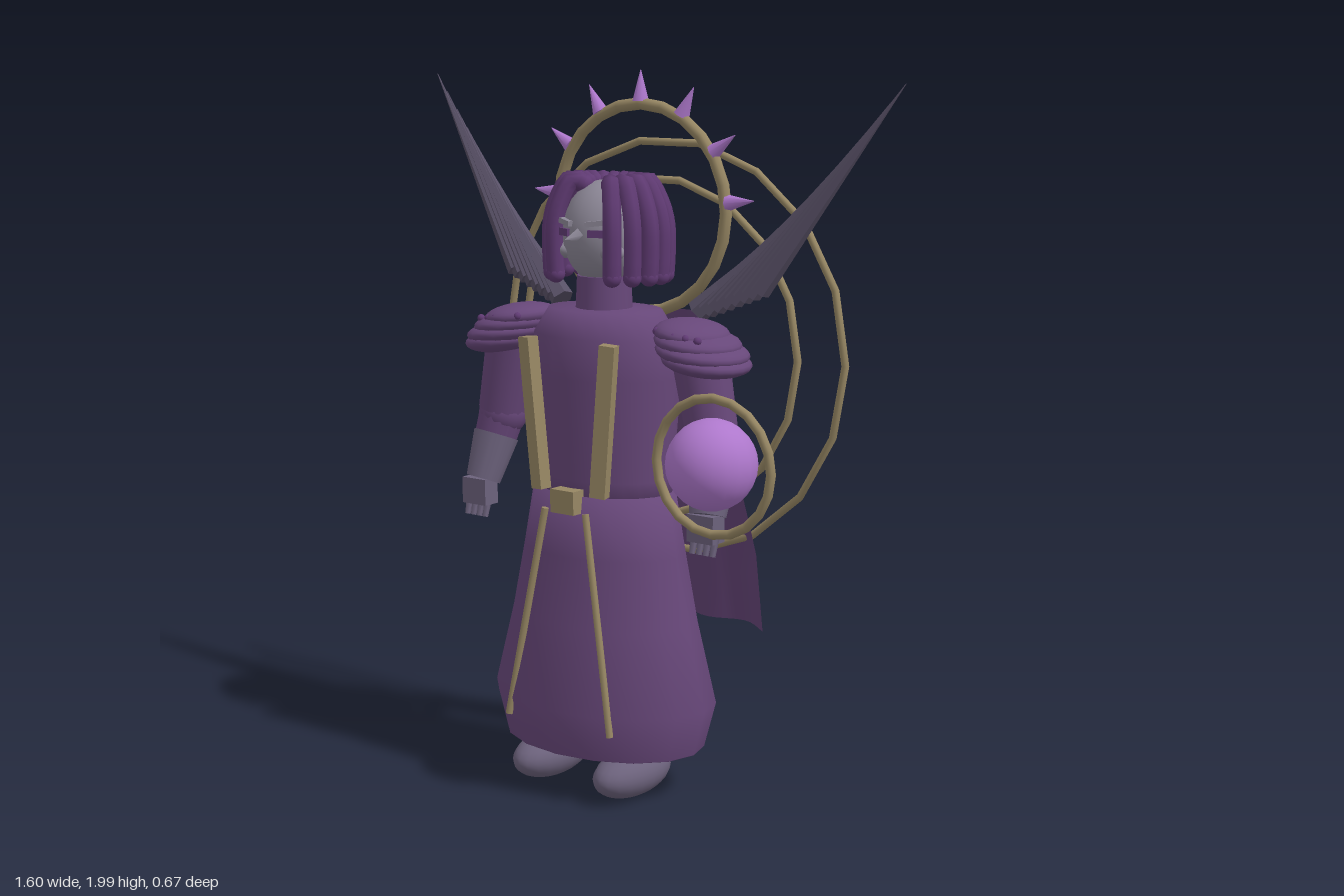
import * as THREE from 'three';

const mat = (name, color, side = THREE.FrontSide, flatShading = false) => {
  const m = new THREE.MeshStandardMaterial({ color, side, flatShading });
  m.name = name;
  return m;
};

export function createModel() {
  const root = new THREE.Group();
  const robe = mat('robePurple', 0x674779);
  const capeMat = mat('capePurple', 0x644476, THREE.DoubleSide);
  const hairMat = mat('hairPurple', 0x5f3a72);
  const skin = mat('paleGrey', 0x8b8695);
  const glove = mat('gloveGrey', 0x6c627c);
  const gold = mat('dullGold', 0x978764);
  const glow = mat('orbViolet', 0xae78cc);
  const feather = mat('featherGrey', 0x585066, THREE.FrontSide, true);
  const V = (x, y, z) => new THREE.Vector3(x, y, z);

  const add = (name, geo, material, p = [0, 0, 0], scale = [1, 1, 1], parent = root) => {
    const m = new THREE.Mesh(geo, material);
    m.name = name;
    m.position.set(...p);
    m.scale.set(...scale);
    parent.add(m);
    return m;
  };
  const ball = (name, material, p, r, parent) =>
    add(name, new THREE.SphereGeometry(1, 20, 14), material, p, r, parent);
  // Tapered rod from a to b
  const rod = (name, material, a, b, r0, r1, sides = 12, parent = root) => {
    const d = b.clone().sub(a);
    const m = add(name, new THREE.CylinderGeometry(r1, r0, d.length(), sides), material, [0, 0, 0], [1, 1, 1], parent);
    m.position.copy(a).addScaledVector(d, 0.5);
    m.quaternion.setFromUnitVectors(V(0, 1, 0), d.normalize());
    return m;
  };
  const lathe = (name, pts, material, p, scale, n = 24) =>
    add(name, new THREE.LatheGeometry(pts.map(([r, y]) => new THREE.Vector2(r, y)), n), material, p, scale);
  const ring = (name, r, tube, p, n) =>
    add(name, new THREE.TorusGeometry(r, tube, 8, n), gold, p);

  // Robe
  lathe('skirt', [[0, 0.14], [0.31, 0.14], [0.31, 0.141], [0.345, 0.27], [0.287, 0.5], [0.25, 0.69], [0.22, 0.86], [0, 0.86]],
    robe, [0, 0, 0.05], [1, 1, 0.71], 16);
  lathe('torso', [[0, 0.82], [0.205, 0.82], [0.205, 0.9], [0.228, 1.18], [0.215, 1.29], [0.17, 1.36], [0, 1.365]],
    robe, [0, 0, 0.045], [1, 1, 0.75]);
  add('neck', new THREE.CylinderGeometry(0.075, 0.08, 0.12, 16), robe, [0, 1.39, 0.05]);
  add('buckle', new THREE.BoxGeometry(0.08, 0.065, 0.05), gold, [0, 0.847, 0.215]);

  // Head and face
  ball('head', skin, [0, 1.565, 0.04], [0.118, 0.145, 0.128]);
  const nose = add('nose', new THREE.ConeGeometry(0.022, 0.075, 4), skin, [0, 1.565, 0.185]);
  nose.rotation.x = Math.PI / 2 + 0.15;

  // Hair locks fall around the crown, leaving the face open
  const hair = new THREE.Group();
  hair.name = 'hair';
  root.add(hair);
  const locks = 15;
  for (let i = 0; i < locks; i++) {
    const a = 0.62 + (i / (locks - 1)) * (Math.PI * 2 - 1.24);
    const path = [[0.075, 1.695], [0.11, 1.71], [0.148, 1.655], [0.167, 1.59], [0.168, 1.5], [0.165, 1.455]]
      .map(([r, y]) => V(Math.sin(a) * r, y, 0.03 + Math.cos(a) * r * 0.82));
    add('lock', new THREE.TubeGeometry(new THREE.CatmullRomCurve3(path), 14, 0.025, 8), hairMat, [0, 0, 0], [1, 1, 1], hair);
    for (const p of [path[0], path[5]]) ball('lockEnd', hairMat, p.toArray(), [0.025, 0.025, 0.025], hair);
  }

  for (const s of [1, -1]) {
    const side = s > 0 ? 'left' : 'right';
    ball(side + 'Foot', glove, [s * 0.143, 0.077, 0.11], [0.077, 0.067, 0.15]);

    // Face details
    const eye = add(side + 'Eye', new THREE.BoxGeometry(0.046, 0.02, 0.009), hairMat, [s * 0.054, 1.572, 0.156]);
    eye.rotation.y = s * 0.4;
    const brow = add(side + 'Brow', new THREE.BoxGeometry(0.062, 0.014, 0.02), skin, [s * 0.052, 1.6, 0.152]);
    brow.rotation.set(0, s * 0.4, s * 0.12);
    ball(side + 'Cheek', skin, [s * 0.077, 1.52, 0.115], [0.034, 0.024, 0.034]);

    // Gold trim on chest and skirt
    const strip = add(side + 'ChestStrip', new THREE.BoxGeometry(0.045, 0.42, 0.035), gold, [s * 0.12, 1.077, 0.207]);
    strip.rotation.set(0.04, s * 0.25, -s * 0.095);
    rod(side + 'SkirtTrim', gold, V(s * 0.07, 0.82, 0.225), V(s * 0.178, 0.22, 0.258), 0.01, 0.01, 8);

    // Arm
    const arm = new THREE.Group();
    arm.name = side + 'Arm';
    root.add(arm);
    rod('upperArm', robe, V(s * 0.32, 1.27, 0.05), V(s * 0.365, 1.04, 0.05), 0.078, 0.07, 14, arm);
    ball('elbow', robe, [s * 0.365, 1.03, 0.05], [0.07, 0.07, 0.07], arm);
    rod('sleeve', robe, V(s * 0.365, 1.04, 0.05), V(s * 0.385, 0.94, 0.07), 0.068, 0.06, 14, arm);
    rod('cuff', glove, V(s * 0.38, 0.965, 0.065), V(s * 0.392, 0.84, 0.11), 0.066, 0.05, 12, arm);
    add('palm', new THREE.BoxGeometry(0.085, 0.075, 0.055), glove, [s * 0.394, 0.81, 0.122], [1, 1, 1], arm);
    for (let f = 0; f < 4; f++) {
      const x = s * (0.362 + f * 0.022);
      rod('finger', glove, V(x, 0.785, 0.125), V(x, 0.738, 0.138), 0.011, 0.008, 6, arm);
    }

    // Layered shoulder guard with studs
    const guard = new THREE.Group();
    guard.name = side + 'ShoulderGuard';
    root.add(guard);
    [[0.295, 1.315, 0.098, 0.115], [0.315, 1.292, 0.115, 0.128], [0.33, 1.267, 0.125, 0.135], [0.343, 1.243, 0.12, 0.13]]
      .forEach(([x, y, rx, rz]) => {
        const plate = ball('plate', robe, [s * x, y, 0.05], [rx, 0.037, rz], guard);
        plate.rotation.z = -s * 0.13;
      });
    for (let i = 0; i < 5; i++) {
      ball('stud', hairMat, [s * (0.24 + i * 0.033), 1.325 - i * 0.004, 0.15 - Math.abs(i - 2) * 0.008], [0.011, 0.011, 0.011], guard);
    }

    // Wing made of long tapered feathers
    const wing = new THREE.Group();
    wing.name = side + 'Wing';
    root.add(wing);
    for (let i = 0; i < 8; i++) {
      const t = i / 7;
      const f = rod('feather', feather, V(s * (0.415 - 0.18 * t), 1.425 - 0.07 * t, -0.085 + 0.025 * t),
        V(s * (0.8 - 0.3 * t), 1.975 - 0.36 * t, -0.175 + 0.04 * t), 0.034, 0.001, 6, wing);
      f.name = 'feather';
    }
  }

  // Rings behind the body
  ring('halo', 0.288, 0.017, [0, 1.62, -0.115], 24);
  ring('innerRing', 0.478, 0.011, [0, 1.225, -0.187], 18);
  ring('outerRing', 0.59, 0.011, [0, 1.215, -0.25], 18);

  // Halo spikes
  for (let i = -3; i <= 3; i++) {
    const a = i * 0.49;
    const at = r => V(Math.sin(a) * r, 1.62 + Math.cos(a) * r, -0.115);
    rod('haloSpike', glow, at(0.295), at(0.38), 0.023, 0.001, 8);
  }

  // Floating orb with its ring
  ball('orb', glow, [0.478, 1.007, 0.217], [0.121, 0.121, 0.121]);
  ring('orbRing', 0.18, 0.013, [0.478, 1.0, 0.212], 20);

  // Cape: a sloping sheet with soft folds growing toward the hem
  const cape = new THREE.PlaneGeometry(1, 1, 24, 12);
  const pos = cape.attributes.position;
  for (let i = 0; i < pos.count; i++) {
    const u = pos.getX(i) * 2;
    const t = 0.5 - pos.getY(i);
    const half = 0.2 + 0.125 * Math.min(1, t * 1.35);
    const fold = Math.cos(u * Math.PI * 3) * 0.016 * t;
    const wrap = 0.04 * t * Math.pow(Math.abs(u), 6);
    pos.setXYZ(i, u * half, 1.35 - 0.925 * t, -0.115 - 0.205 * t - fold + wrap);
  }
  cape.computeVertexNormals();
  add('cape', cape, capeMat);

  return root;
}
